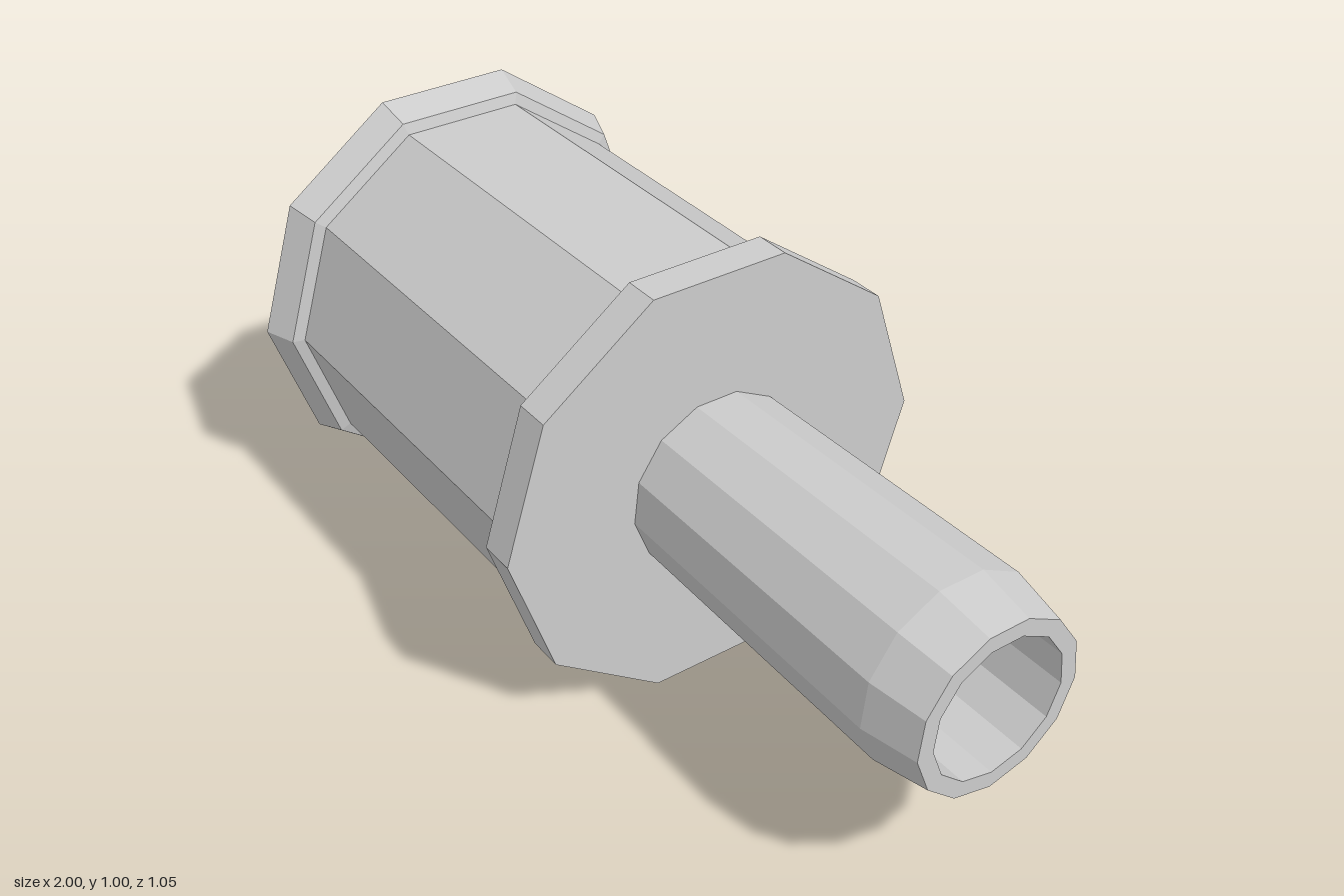
import * as THREE from 'three';

const material = new THREE.MeshStandardMaterial({ color: 0xcccccc, flatShading: true });

// Turns a [radius, x] profile around a horizontal axis running along x
function turned(name, profile, sides, phiStart, y, z) {
  const points = profile.map(([r, x]) => new THREE.Vector2(r, x));
  const geometry = new THREE.LatheGeometry(points, sides, phiStart);
  geometry.rotateZ(-Math.PI / 2);
  const mesh = new THREE.Mesh(geometry, material);
  mesh.name = name;
  mesh.position.set(0, y, z);
  return mesh;
}

export function createModel() {
  const group = new THREE.Group();
  group.name = 'spoutedCanister';

  // Ten-sided body with a flared rear rim and a front flange
  group.add(turned('body', [
    [0, -1], [0.527, -1], [0.498, -0.92], [0.47, -0.912],
    [0.47, 0.02], [0.527, 0.035], [0.527, 0.12], [0, 0.12],
  ], 10, 0, 0.502, 0));

  // Thirteen-sided hollow spout, widest just before its tapered mouth
  group.add(turned('spout', [
    [0.213, 0.12], [0.224, 0.87], [0.199, 1], [0.161, 1], [0.161, 0.12],
  ], 13, Math.PI / 2, 0.504, 0.006));

  return group;
}
